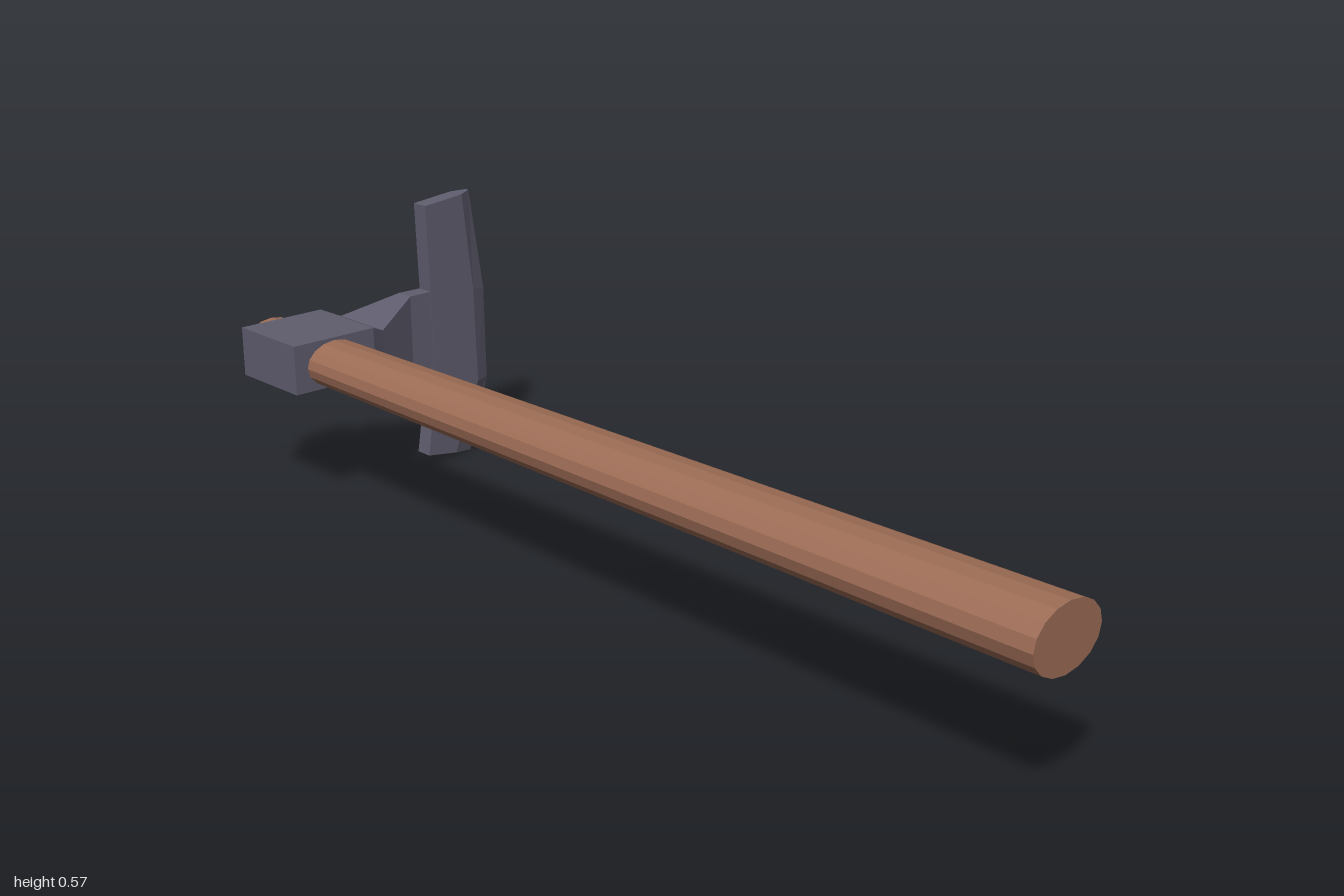
import * as THREE from 'three';

// Closed solid through matching convex loops of [x, y, z] points
function loft(sections) {
  const pos = [];
  const tri = (a, b, c) => pos.push(...a, ...b, ...c);
  const n = sections[0].length;
  for (let s = 0; s < sections.length - 1; s++) {
    const a = sections[s], b = sections[s + 1];
    for (let i = 0; i < n; i++) {
      const j = (i + 1) % n;
      tri(a[i], a[j], b[j]);
      tri(a[i], b[j], b[i]);
    }
  }
  const first = sections[0], last = sections[sections.length - 1];
  for (let i = 1; i < n - 1; i++) {
    tri(first[0], first[i + 1], first[i]);
    tri(last[0], last[i], last[i + 1]);
  }
  const geo = new THREE.BufferGeometry();
  geo.setAttribute('position', new THREE.Float32BufferAttribute(pos, 3));
  geo.computeVertexNormals();
  return geo;
}

export function createModel() {
  const model = new THREE.Group();
  const wood = new THREE.MeshStandardMaterial({ color: 0x9c6c55, flatShading: true });
  const steel = new THREE.MeshStandardMaterial({ color: 0x5f5d6e, flatShading: true });
  const add = (name, geo, mat) => {
    const mesh = new THREE.Mesh(geo, mat);
    mesh.name = name;
    model.add(mesh);
  };

  // Oval handle, tapering towards the head
  const handle = new THREE.CylinderGeometry(0.081, 0.063, 2, 16);
  handle.rotateX(Math.PI / 2).scale(1, 0.716, 1).translate(-0.171, 0.3, 0);
  add('handle', handle, wood);

  // Socket block narrowing to a waist, then flaring into the blade
  const socket = [
    // x, bottom, top, back, front
    [-0.265, 0.252, 0.352, -0.961, -0.776],
    [-0.075, 0.252, 0.352, -0.961, -0.776],
    [-0.042, 0.268, 0.337, -0.936, -0.79],
    [0.058, 0.207, 0.381, -0.867, -0.828],
    [0.114, 0.196, 0.381, -0.866, -0.829],
  ].map(([x, y0, y1, z0, z1]) => [[x, y0, z1], [x, y0, z0], [x, y1, z0], [x, y1, z1]]);
  add('socketAndNeck', loft(socket), steel);

  // Broad upright blade: flat back, ridge line, bevel to a thin edge
  const zMid = -0.847, thick = 0.019, thin = 0.004;
  const blade = [
    // back, ridge and edge as x, y pairs
    [0.09, 0.023, 0.163, 0.012, 0.213, 0.003],
    [0.112, 0.158, 0.228, 0.16, 0.264, 0.16],
    [0.111, 0.375, 0.223, 0.365, 0.262, 0.36],
    [0.105, 0.564, 0.2, 0.574, 0.23, 0.577],
  ].map(([bx, by, rx, ry, ex, ey]) => [
    [bx, by, zMid + thick], [rx, ry, zMid + thick], [ex, ey, zMid + thin],
    [ex, ey, zMid - thin], [rx, ry, zMid - thick], [bx, by, zMid - thick],
  ]);
  add('blade', loft(blade), steel);

  return model;
}
